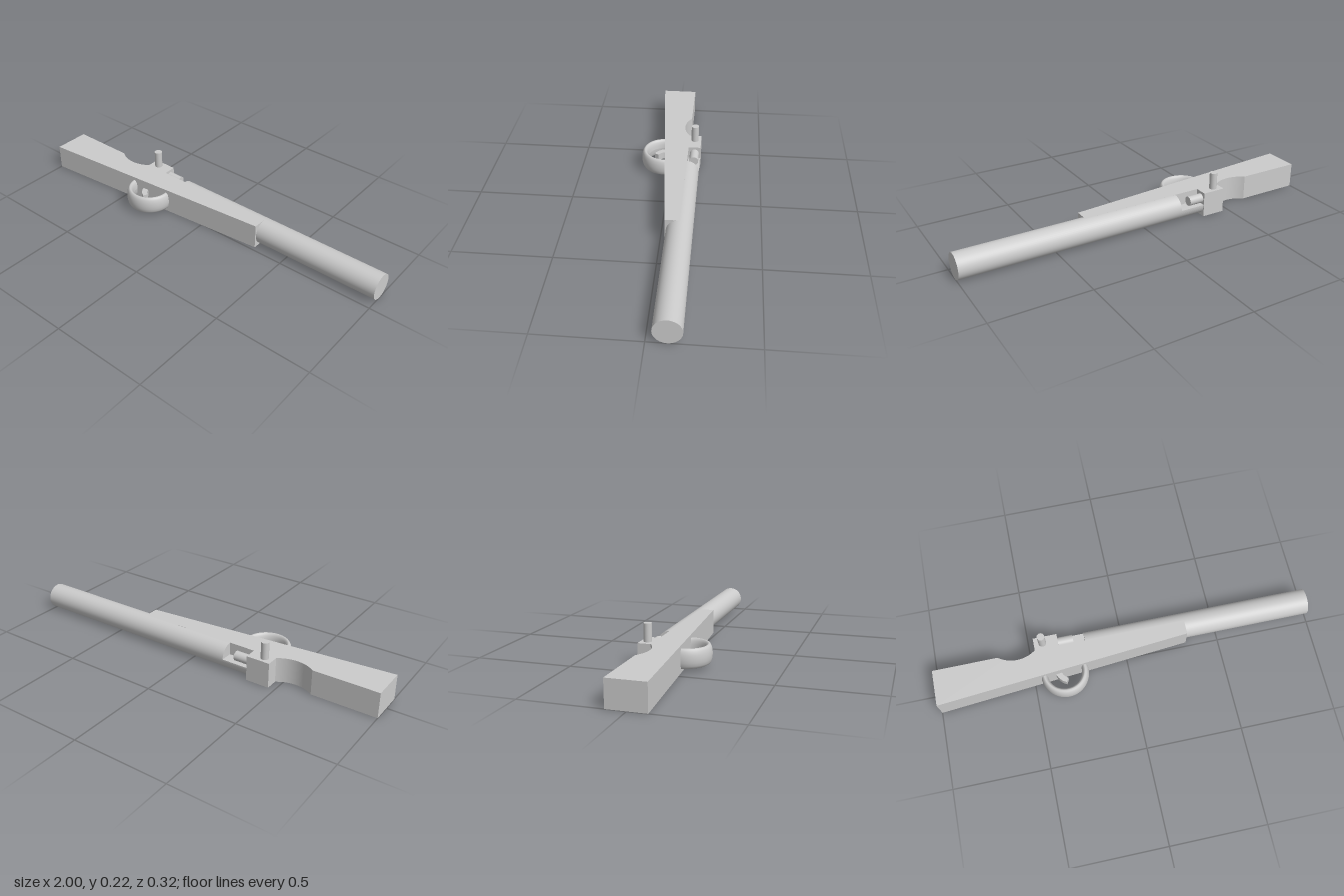
import * as THREE from 'three';

const H = 0.133;              // thickness of the stock
const R = H / 2;              // barrel radius, also the mid height
const BORE_Z = -0.095;        // barrel axis

export function createModel() {
  const group = new THREE.Group();
  const mat = new THREE.MeshStandardMaterial({ color: 0xcccccc });
  const add = (name, geometry, x = 0, y = 0, z = 0) => {
    const mesh = new THREE.Mesh(geometry, mat);
    mesh.name = name;
    mesh.position.set(x, y, z);
    group.add(mesh);
    return mesh;
  };
  // cylinder lying along x between two ends
  const rod = (name, r, x0, x1, y, z) =>
    add(name, new THREE.CylinderGeometry(r, r, x1 - x0, 48).rotateZ(-Math.PI / 2), (x0 + x1) / 2, y, z);

  // tapered stock with a grip scoop, drawn flat (shape y = -z) and extruded upward
  const chord = 0.195, depth = 0.033;
  const scoopR = (chord * chord / 4 + depth * depth) / (2 * depth);
  const half = Math.asin(chord / 2 / scoopR);
  const stock = new THREE.Shape();
  stock.moveTo(-1, -0.093);
  stock.lineTo(0.33, 0.022);
  stock.lineTo(0.33, 0.097);
  stock.lineTo(-0.465, 0.097);
  stock.absarc(-0.5625, 0.097 - depth + scoopR, scoopR, -Math.PI / 2 + half, -Math.PI / 2 - half, true);
  stock.lineTo(-1, 0.097);
  stock.closePath();
  add('stock', new THREE.ExtrudeGeometry(stock, { depth: H, bevelEnabled: false, curveSegments: 20 })
    .rotateX(-Math.PI / 2));

  // barrel, with its rear end cut to half height to form the open chamber
  rod('barrel', R, -0.2, 1, R, BORE_Z);
  const tray = new THREE.Shape();
  tray.absarc(0, 0, R, Math.PI, Math.PI * 2, false);
  tray.closePath();
  add('chamberTray', new THREE.ExtrudeGeometry(tray, { depth: 0.14, bevelEnabled: false, curveSegments: 24 })
    .rotateY(Math.PI / 2), -0.34, R, BORE_Z);

  // receiver block, bolt and upright bolt handle
  add('receiver', new THREE.BoxGeometry(0.125, H, 0.066), -0.4025, R, -0.13);
  rod('bolt', 0.025, -0.34, -0.26, 0.095, -0.13);
  add('boltHandle', new THREE.CylinderGeometry(0.02, 0.02, 0.09, 32), -0.42, H + 0.045, -0.128);

  // trigger guard: half ring with an upright oval section
  const oval = [];
  for (let i = 0; i <= 16; i++) {
    const a = -i / 16 * Math.PI * 2;
    oval.push(new THREE.Vector2(0.107 - 0.018 * Math.cos(a), -0.049 * Math.sin(a)));
  }
  oval.reverse();
  const guard = add('triggerGuard', new THREE.LatheGeometry(oval, 40, -Math.PI / 2 - 0.1, Math.PI + 0.2),
    -0.335, 0.068, 0.037);
  guard.material = mat.clone();
  guard.material.side = THREE.DoubleSide;

  // curved trigger inside the guard
  const trigger = new THREE.Shape();
  trigger.moveTo(-0.385, -0.02);
  trigger.quadraticCurveTo(-0.38, -0.07, -0.335, -0.092);
  trigger.lineTo(-0.322, -0.07);
  trigger.quadraticCurveTo(-0.35, -0.055, -0.353, -0.02);
  trigger.closePath();
  add('trigger', new THREE.ExtrudeGeometry(trigger, { depth: 0.04, bevelEnabled: false })
    .rotateX(-Math.PI / 2), 0, R - 0.02, 0);

  return group;
}
